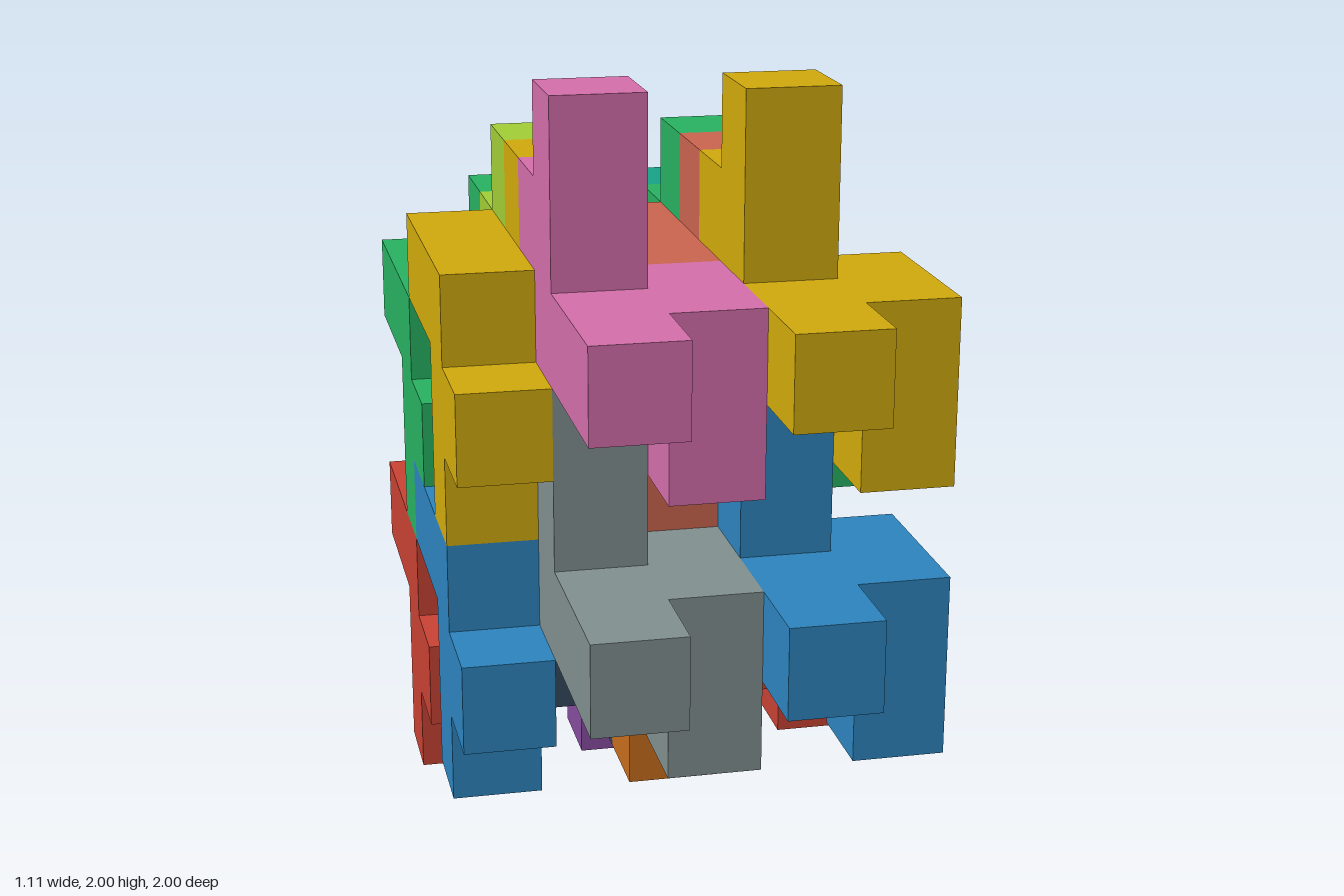
import * as THREE from 'three';
import { mergeGeometries } from 'three/addons/utils/BufferGeometryUtils.js';

const UNIT = 2 / 9;

// Unit cells [x, y, z] of the one block that interlocks with copies of itself
const CELLS = [
  [0, 0, 0], [0, 1, 0], [0, 2, 0], [0, 1, -1], [0, 0, 1], [0, 0, 2],
  [1, 0, 0], [1, 0, 1], [1, -1, 1],
];

const YELLOW = 0xd4ac0d, GREEN = 0x28b463, BLUE = 0x2e86c1, RED = 0xcb4335;

// Name, colour and origin cell of each block
const UPRIGHT = [
  ['upperFrontLeftBlock', YELLOW, 1, 6, 2],
  ['upperFrontRightBlock', 0xd770ad, -1, 6, 2],
  ['lowerFrontLeftBlock', BLUE, 1, 3, 2],
  ['lowerFrontRightBlock', 0x839192, -1, 3, 2],
  ['upperBackLeftBlock', GREEN, 1, 5, -1],
  ['upperBackRightBlock', 0xa4d037, -1, 5, -1],
  ['lowerBackLeftBlock', RED, 1, 2, -1],
  ['lowerBackRightBlock', 0x34495e, -1, 2, -1],
];
const INVERTED = [
  ['upperFrontCentreInvertedBlock', 0xcd6650, 0, 6, 1],
  ['upperFrontRightInvertedBlock', YELLOW, -2, 6, 1],
  ['lowerFrontCentreInvertedBlock', 0xca6f1e, 0, 3, 1],
  ['lowerFrontRightInvertedBlock', BLUE, -2, 3, 1],
  ['upperBackCentreInvertedBlock', 0x17a589, 0, 5, -2],
  ['upperBackRightInvertedBlock', GREEN, -2, 5, -2],
  ['lowerBackCentreInvertedBlock', 0x884ea0, 0, 2, -2],
  ['lowerBackRightInvertedBlock', RED, -2, 2, -2],
];

// Outer skin of the block: one square for every cell side without a neighbour
function blockGeometry() {
  const filled = new Set(CELLS.map(String));
  const sides = [[1, 0, 0], [-1, 0, 0], [0, 1, 0], [0, -1, 0], [0, 0, 1], [0, 0, -1]];
  const forward = new THREE.Vector3(0, 0, 1);
  const squares = [];
  for (const cell of CELLS) {
    for (const side of sides) {
      if (filled.has(String(cell.map((c, a) => c + side[a])))) continue;
      const turn = new THREE.Quaternion().setFromUnitVectors(forward, new THREE.Vector3(...side));
      const centre = cell.map((c, a) => (c + side[a] / 2) * UNIT);
      squares.push(new THREE.PlaneGeometry(UNIT, UNIT).applyQuaternion(turn).translate(...centre));
    }
  }
  return mergeGeometries(squares);
}

export function createModel() {
  const model = new THREE.Group();
  model.name = 'interlockingBlocks';
  const geometry = blockGeometry();

  const addBlock = ([name, color, x, y, z], tilt) => {
    const block = new THREE.Mesh(geometry, new THREE.MeshStandardMaterial({ color }));
    block.name = name;
    block.position.set(x * UNIT, (y + 0.5) * UNIT, z * UNIT);
    block.rotation.x = tilt;
    model.add(block);
  };

  // Upright blocks, and the same block turned half round about x between them
  UPRIGHT.forEach((b) => addBlock(b, 0));
  INVERTED.forEach((b) => addBlock(b, Math.PI));
  return model;
}
